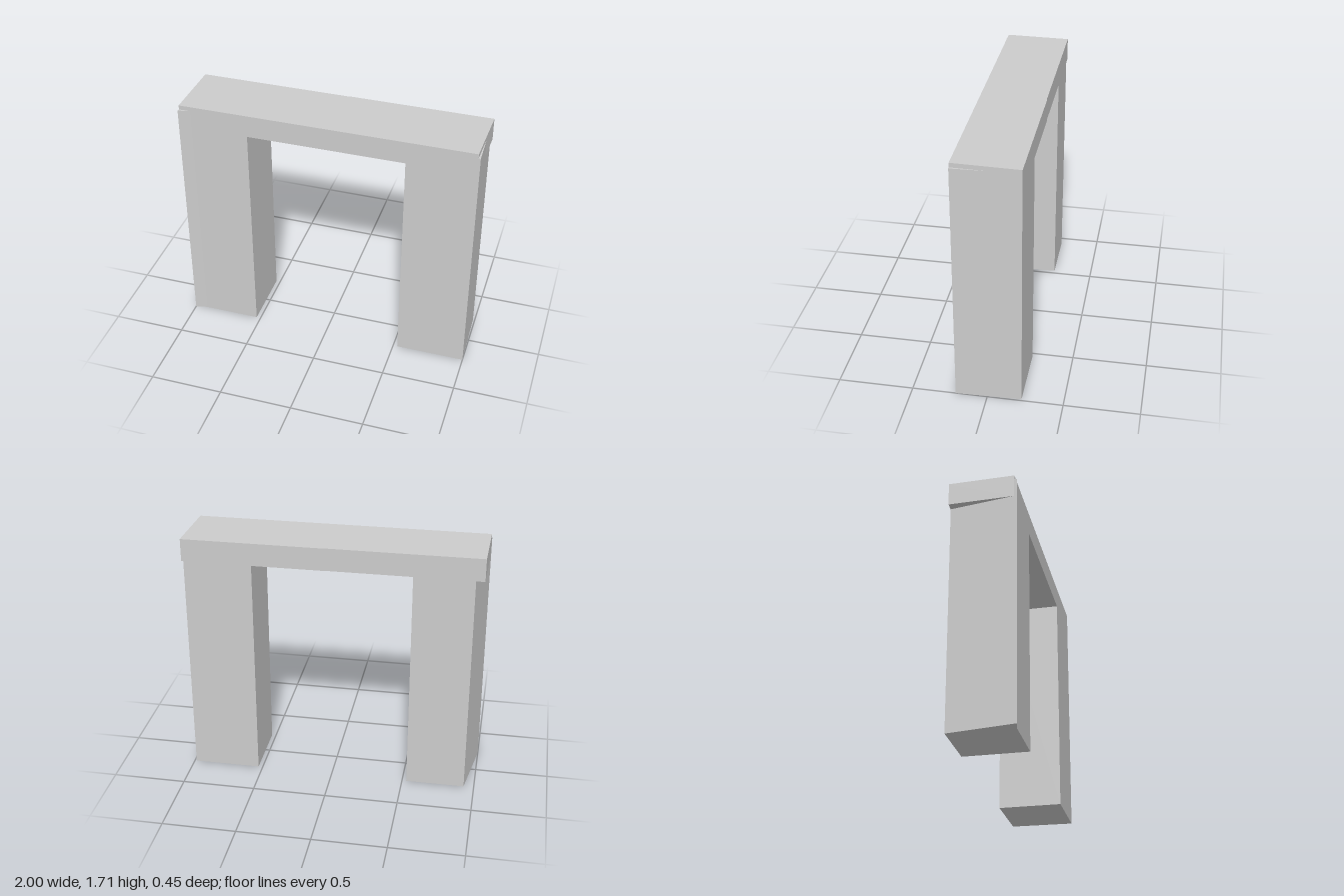
import * as THREE from 'three';

const material = new THREE.MeshStandardMaterial({ color: 0xcccccc, flatShading: true });

// Upright prism from a plan outline of [x, z] corners, between two heights
function prism(name, plan, bottom, top) {
  const shape = new THREE.Shape(plan.map(([x, z]) => new THREE.Vector2(x, -z)));
  const geometry = new THREE.ExtrudeGeometry(shape, { depth: top - bottom, bevelEnabled: false });
  geometry.rotateX(-Math.PI / 2);
  geometry.translate(0, bottom, 0);
  const mesh = new THREE.Mesh(geometry, material);
  mesh.name = name;
  return mesh;
}

export function createModel() {
  const group = new THREE.Group();
  group.name = 'gateway';

  // Right post: slanted outer end with a small flare at the front corner
  group.add(prism('rightPost', [
    [-0.53, 0.21], [-0.53, -0.225], [-0.93, -0.225], [-1, 0.227], [-0.92, 0.21],
  ], 0, 1.68));

  // Left post: nearly square, slightly wider at the front
  group.add(prism('leftPost', [
    [0.53, 0.21], [1, 0.21], [0.987, -0.225], [0.53, -0.225],
  ], 0, 1.68));

  // Lintel: a slightly skewed slab laid over both posts
  group.add(prism('lintel', [
    [-0.997, 0.21], [0.986, 0.21], [1, -0.228], [0.04, -0.228], [0.04, -0.225], [-0.988, -0.225],
  ], 1.555, 1.71));

  return group;
}
